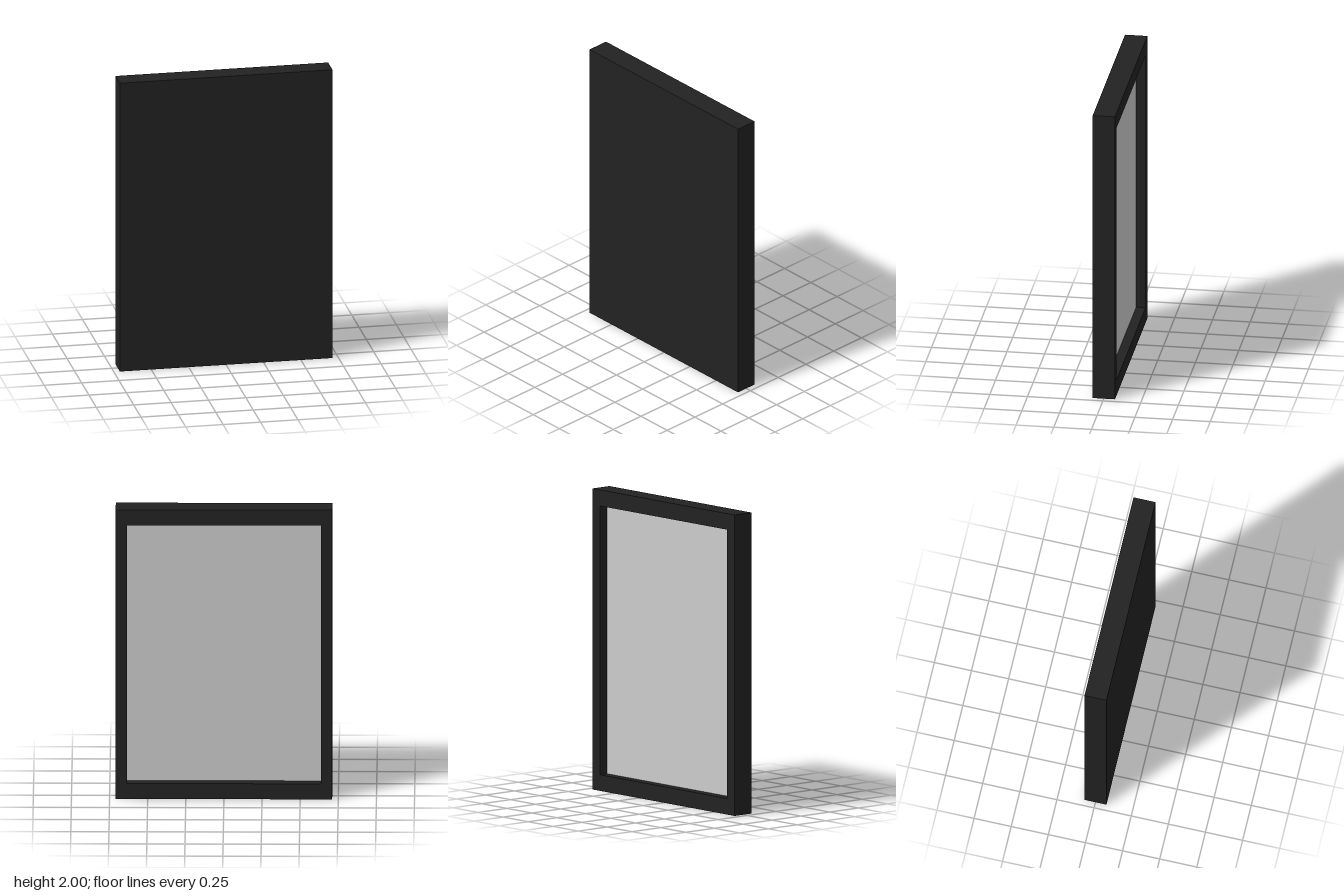
import * as THREE from 'three';

const WIDTH = 1.42, HEIGHT = 2, DEPTH = 0.148;
const SIDE = 0.075, RAIL = 0.107; // border widths: sides, top and bottom
const RECESS = 0.065;             // depth of the opening in the back

// Adds a centred rectangle to a shape or path
function rectangle(path, w, h) {
  path.moveTo(-w / 2, -h / 2);
  path.lineTo(w / 2, -h / 2);
  path.lineTo(w / 2, h / 2);
  path.lineTo(-w / 2, h / 2);
  path.closePath();
  return path;
}

export function createModel() {
  const group = new THREE.Group();
  const dark = new THREE.MeshStandardMaterial({ color: 0x222222 });
  const grey = new THREE.MeshStandardMaterial({ color: 0xcccccc });
  const innerW = WIDTH - 2 * SIDE, innerH = HEIGHT - 2 * RAIL;
  const recessZ = -DEPTH / 2 + RECESS;

  const add = (name, geometry, material, z) => {
    const mesh = new THREE.Mesh(geometry, material);
    mesh.name = name;
    mesh.position.set(0, HEIGHT / 2, z);
    group.add(mesh);
    return mesh;
  };

  // Solid front slab
  const slabDepth = DEPTH - RECESS;
  add('frontPanel', new THREE.BoxGeometry(WIDTH, HEIGHT, slabDepth), dark, recessZ + slabDepth / 2);

  // Raised border around the back opening
  const border = rectangle(new THREE.Shape(), WIDTH, HEIGHT);
  border.holes.push(rectangle(new THREE.Path(), innerW, innerH));
  add('backFrame', new THREE.ExtrudeGeometry(border, { depth: RECESS, bevelEnabled: false }), dark, -DEPTH / 2);

  // Grey sheet at the bottom of the recess, facing back
  const sheet = add('backSheet', new THREE.PlaneGeometry(innerW, innerH), grey, recessZ - 0.002);
  sheet.rotation.y = Math.PI;

  return group;
}
